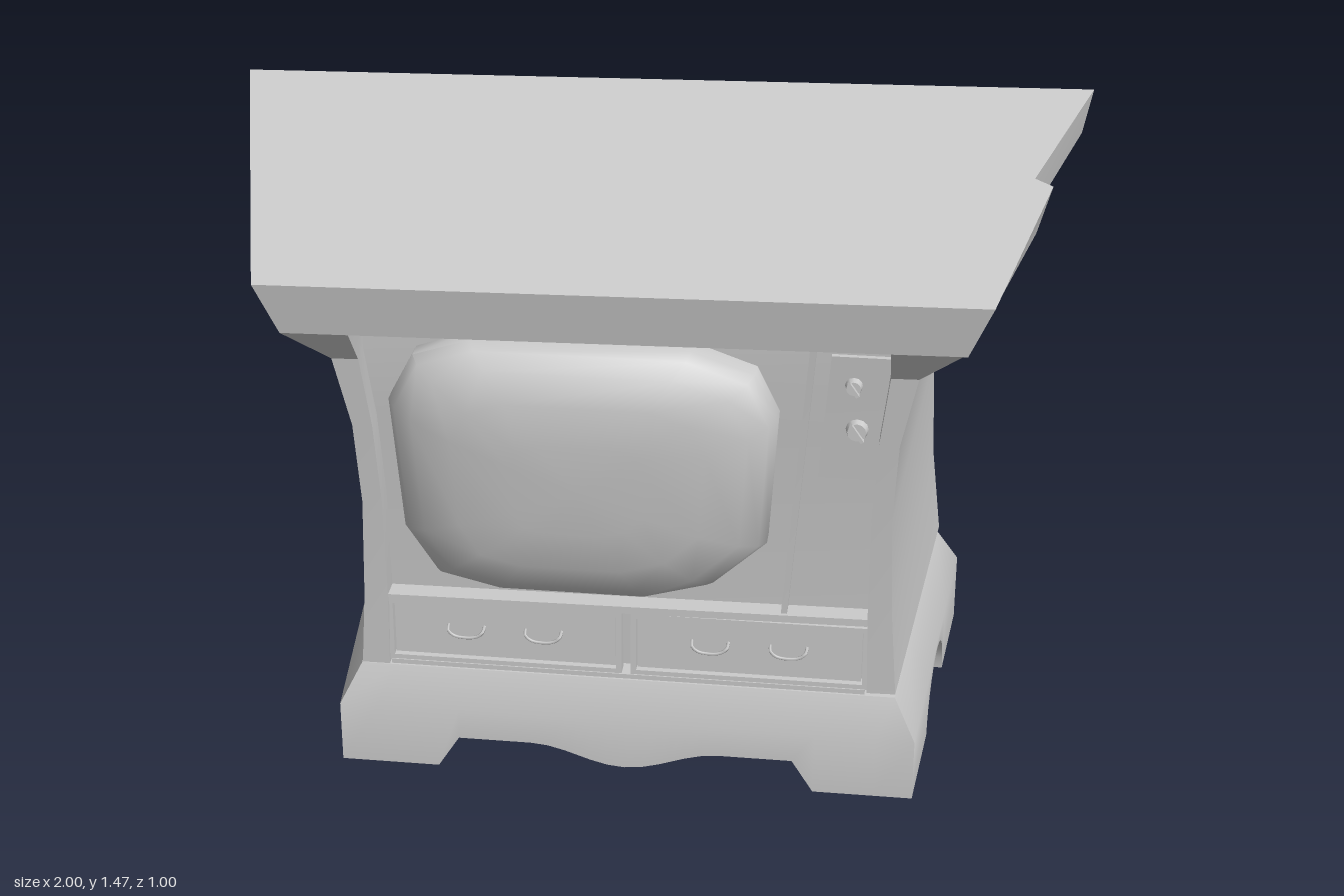
import * as THREE from 'three';
import { toCreasedNormals } from 'three/addons/utils/BufferGeometryUtils.js';

const material = new THREE.MeshStandardMaterial({ color: 0xcccccc });
const TILT = 0.02; // the whole upper part rises slightly towards +x
const lerp = THREE.MathUtils.lerp;

// Front surface of the cabinet, curving forward with height
const frontZ = (y) => 0.345 + 0.055 * Math.pow(Math.max(0, (y - 0.25) / 0.83), 1.5);

function addQuad(out, a, b, c, d) {
  for (const [p, q, r] of [[a, b, c], [a, c, d]]) {
    const n = q.clone().sub(p).cross(r.clone().sub(p));
    if (n.length() > 1e-8) for (const v of [p, q, r]) out.push(v.x, v.y, v.z);
  }
}

function finish(out, crease) {
  const g = new THREE.BufferGeometry();
  g.setAttribute('position', new THREE.Float32BufferAttribute(out, 3));
  return toCreasedNormals(g, crease);
}

// Skin over closed rings; a ring collapsed to one point makes a cap
function skin(out, rings) {
  for (let r = 0; r < rings.length - 1; r++) {
    const a = rings[r], b = rings[r + 1], n = a.length;
    for (let i = 0; i < n; i++) addQuad(out, a[i], a[(i + 1) % n], b[(i + 1) % n], b[i]);
  }
  return out;
}

const capRing = (ring, x, y, z) => ring.map(() => new THREE.Vector3(x, y, z));

// Ring from [x, z] points lying on a plane given by its front and back heights
function planeRing(pts, yf, zf, yb, zb) {
  return pts.map(([x, z]) => new THREE.Vector3(x, lerp(yf, yb, (zf - z) / (zf - zb)) + TILT * x, z));
}

// Plinth: the scalloped tunnel and the side arch meet in one underside
function plinthGeometry() {
  const out = [];
  const half = (z) => lerp(0.67, 0.745, (0.38 - z) / 0.845);
  const backZ = (x) => -0.465 - 0.038 * (1 - (x / 0.745) ** 2);
  const scallop = (x) => {
    const a = Math.abs(x);
    if (a >= 0.44) return 0;
    if (a >= 0.39) return 0.08 * (0.44 - a) / 0.05;
    return a > 0.22 ? 0.08 : 0.03 + 0.025 * (1 - Math.cos(Math.PI * a / 0.22));
  };
  const right = [0.04, 0.08, 0.11, 0.14, 0.18, 0.22, 0.39, 0.44, 0.58, 9];
  const xs = [...right.map((x) => -x).reverse(), 0, ...right];
  const N = 14, zs = [[0.38, 0]];
  for (let i = 0; i <= N; i++) {
    const t = Math.PI * i / N;
    zs.push([-0.048 + 0.155 * Math.cos(t), 0.145 * Math.sin(t)]);
  }
  zs.push([null, 0]);
  const grid = zs.map(([z0, arch]) => xs.map((x0) => {
    const edge = Math.abs(x0) === 9;
    const x = edge ? Math.sign(x0) * half(z0 ?? -0.465) : x0;
    return new THREE.Vector3(x, Math.max(arch, scallop(x)), z0 ?? backZ(x));
  }));
  const R = grid.length - 1, C = xs.length - 1;
  for (let j = 0; j < R; j++) for (let i = 0; i < C; i++)
    addQuad(out, grid[j][i], grid[j + 1][i], grid[j + 1][i + 1], grid[j][i + 1]);
  const rim = [
    ...grid[0].slice(0, C), ...grid.slice(0, R).map((row) => row[C]),
    ...grid[R].slice(1).reverse(), ...grid.slice(1).map((row) => row[0]).reverse(),
  ];
  const wall = rim.map((p) => new THREE.Vector3(p.x, 0.16 - 0.02 * p.z, p.z));
  const top = rim.map((p) => new THREE.Vector3(p.x * 0.925, 0.258 - 0.02 * p.z, p.z * 0.915));
  skin(out, [rim, wall, top, capRing(top, 0, 0.258, 0)]);
  return finish(out, 0.5);
}

// Waisted cabinet with a recessed front, flaring into the cornice
function cabinetGeometry() {
  const rows = [ // front y, back y, back z, front half, back half, recess half
    [0.245, 0.262, -0.43, 0.62, 0.695, 0.555],
    [0.45, 0.47, -0.422, 0.605, 0.672, 0.55],
    [0.70, 0.74, -0.415, 0.595, 0.66, 0.55],
    [0.90, 0.97, -0.405, 0.605, 0.675, 0.56],
    [1.07, 1.155, -0.37, 0.64, 0.72, 0.58],
    [1.165, 1.34, -0.395, 0.73, 0.975, 0.58],
  ];
  const rings = rows.map(([yf, yb, zb, hf, hb, hi], i) => {
    const zf = i === 5 ? 0.48 : frontZ(yf);
    const zr = frontZ(Math.min(yf, 1.07)) - 0.05;
    return planeRing([[-hf, zf], [-hi, zf], [-hi, zr], [hi, zr], [hi, zf], [hf, zf], [hb, zb], [-hb, zb]], yf, zf, yb, zb);
  });
  return finish(skin([], rings), 0.4);
}

// Sloping roof slab with a chipped right edge
function roofGeometry() {
  const low = planeRing([[-0.73, 0.48], [0.74, 0.48], [0.875, 0.02], [0.85, -0.01], [0.975, -0.395], [-0.975, -0.395]], 1.165, 0.48, 1.34, -0.395);
  const high = planeRing([[-0.78, 0.5], [0.79, 0.5], [0.905, 0.03], [0.865, 0], [0.995, -0.385], [-1, -0.385]], 1.285, 0.5, 1.45, -0.385);
  const lowY = lerp(1.165, 1.34, 0.48 / 0.875), highY = lerp(1.285, 1.45, 0.5 / 0.885);
  return finish(skin([], [capRing(low, 0, lowY, 0), low, high, capRing(high, 0, highY, 0)]), 0.3);
}

// Bulging picture tube with clipped corners
function screenGeometry() {
  const outline = [[-0.43, 0.16], [-0.41, -0.17], [-0.34, -0.285], [-0.2, -0.32], [0.14, -0.32], [0.29, -0.275],
    [0.41, -0.16], [0.43, 0.16], [0.38, 0.27], [0.24, 0.32], [-0.24, 0.32], [-0.37, 0.275]];
  const layers = [[1, -0.06], [1, -0.005], [0.96, 0.025], [0.86, 0.058], [0.65, 0.088], [0.35, 0.1], [0, 0.102]];
  const rings = layers.map(([s, dz]) => outline.map(([x, y]) => {
    const py = 0.8 + y * s;
    return new THREE.Vector3(-0.09 + x * s, py, frontZ(py) + dz);
  }));
  return finish(skin([], rings), 0.9);
}

// Box that follows the curved front and leans sideways with height
function leaningBox(w, y0, y1, depth, x, dz) {
  const g = new THREE.BoxGeometry(w, y1 - y0, depth, 1, 6, 1);
  const p = g.attributes.position;
  for (let i = 0; i < p.count; i++) {
    const y = p.getY(i) + (y0 + y1) / 2;
    p.setXYZ(i, p.getX(i) + x + (y - 0.44) * 0.075, y, p.getZ(i) + frontZ(y) + dz);
  }
  g.computeVertexNormals();
  return g;
}

function rectPath(path, w, h) {
  path.moveTo(-w / 2, -h / 2);
  path.lineTo(w / 2, -h / 2);
  path.lineTo(w / 2, h / 2);
  path.lineTo(-w / 2, h / 2);
  path.closePath();
  return path;
}

export function createModel() {
  const model = new THREE.Group();
  const add = (name, geometry, parent = model, x = 0, y = 0, z = 0) => {
    const mesh = new THREE.Mesh(geometry, material);
    mesh.name = name;
    mesh.position.set(x, y, z);
    parent.add(mesh);
    return mesh;
  };

  add('plinth', plinthGeometry());
  add('cabinet', cabinetGeometry());
  add('roof', roofGeometry());
  add('screen', screenGeometry());

  // Ledge between screen and drawers, sill below
  add('ledge', new THREE.BoxGeometry(1.1, 0.018, 0.05), model, 0, 0.437, 0.325).rotation.z = 0.012;
  add('sill', new THREE.BoxGeometry(1.1, 0.02, 0.05), model, 0, 0.252, 0.318);

  // Two framed drawers, each with two bail handles
  const frame = rectPath(new THREE.Shape(), 0.545, 0.162);
  frame.holes.push(rectPath(new THREE.Path(), 0.52, 0.137));
  const frameGeo = new THREE.ExtrudeGeometry(frame, { depth: 0.03, bevelEnabled: false });
  const handleCurve = new THREE.CatmullRomCurve3([
    [-0.042, 0.006, 0], [-0.04, 0, 0.018], [-0.024, -0.012, 0.02],
    [0.024, -0.012, 0.02], [0.04, 0, 0.018], [0.042, 0.006, 0],
  ].map((p) => new THREE.Vector3(...p)));
  const handleGeo = new THREE.TubeGeometry(handleCurve, 14, 0.004, 5);
  for (const side of [-1, 1]) {
    const drawer = new THREE.Group();
    drawer.name = side < 0 ? 'rightDrawer' : 'leftDrawer';
    drawer.position.set(side * 0.283, 0.342, 0.3);
    model.add(drawer);
    add('drawerFrame', frameGeo, drawer, 0, 0, 0.01);
    add('drawerPanel', new THREE.BoxGeometry(0.515, 0.132, 0.03), drawer, 0, 0, 0.014);
    for (const s of [-1, 1]) add('drawerHandle', handleGeo, drawer, s * 0.09, 0.008, 0.028);
  }

  // Control column beside the screen
  add('divider', leaningBox(0.014, 0.44, 1.15, 0.04, 0.36, -0.03));
  add('controlPanel', leaningBox(0.13, 0.8, 1.11, 0.012, 0.465, -0.046));
  for (const [x, y, r] of [[0.5, 1.04, 0.02], [0.51, 0.93, 0.026]]) {
    const knob = add('knob', new THREE.CylinderGeometry(r * 0.8, r, 0.022, 12), model, x, y, frontZ(y) - 0.032);
    knob.rotation.x = Math.PI / 2;
    add('knobGrip', new THREE.BoxGeometry(0.008, r * 1.8, 0.014), model, x, y, frontZ(y) - 0.018).rotation.z = 0.6;
  }
  return model;
}
